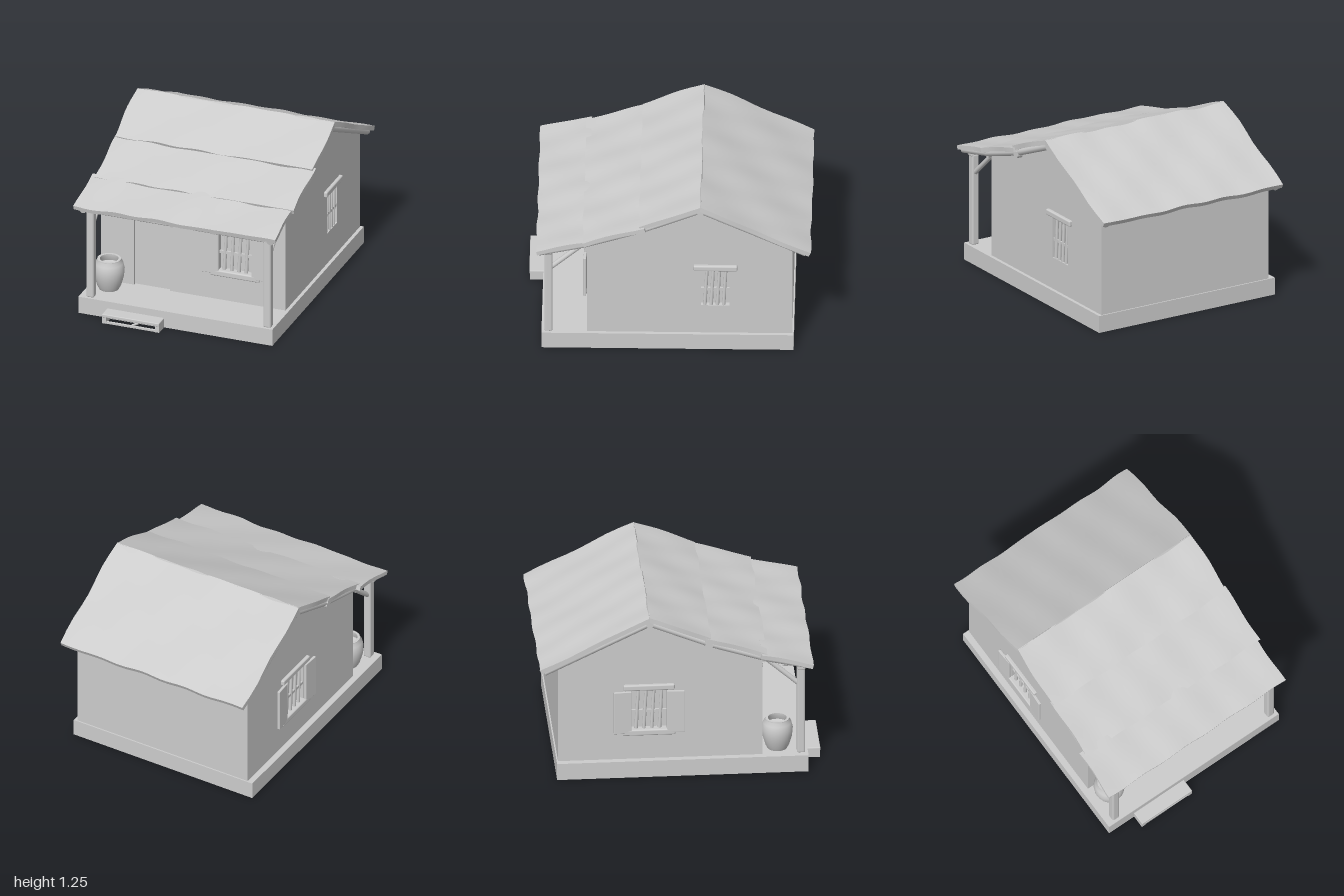
import * as THREE from 'three';
import { toCreasedNormals } from 'three/addons/utils/BufferGeometryUtils.js';
import { RoundedBoxGeometry } from 'three/addons/geometries/RoundedBoxGeometry.js';

const clay = new THREE.MeshStandardMaterial({ color: 0xcccccc, side: THREE.DoubleSide });
clay.name = 'plain clay grey';

function add(parent, name, geometry, x = 0, y = 0, z = 0) {
  const mesh = new THREE.Mesh(geometry, clay);
  mesh.name = name;
  mesh.position.set(x, y, z);
  parent.add(mesh);
  return mesh;
}

// Box given by its lower and upper limits
function block(parent, name, x0, x1, y0, y1, z0, z1, round = 0) {
  const size = [x1 - x0, y1 - y0, z1 - z0];
  const geometry = round ? new RoundedBoxGeometry(...size, 2, round) : new THREE.BoxGeometry(...size);
  return add(parent, name, geometry, (x0 + x1) / 2, (y0 + y1) / 2, (z0 + z1) / 2);
}

// Round pole between two points
function pole(parent, name, from, to, r0, r1 = r0) {
  const a = new THREE.Vector3(...from), b = new THREE.Vector3(...to);
  const dir = b.clone().sub(a);
  const mesh = add(parent, name, new THREE.CylinderGeometry(r1, r0, dir.length(), 12));
  mesh.position.copy(a).add(b).multiplyScalar(0.5);
  mesh.quaternion.setFromUnitVectors(new THREE.Vector3(0, 1, 0), dir.normalize());
  return mesh;
}

function rectPath(x0, x1, y0, y1) {
  return new THREE.Path([[x0, y0], [x0, y1], [x1, y1], [x1, y0]].map(p => new THREE.Vector2(...p)));
}

// Flat wall from an outline, with rectangular openings
function wallGeometry(outline, openings, depth = 0.05) {
  const shape = new THREE.Shape(outline.map(p => new THREE.Vector2(...p)));
  openings.forEach(o => shape.holes.push(rectPath(...o)));
  return new THREE.ExtrudeGeometry(shape, { depth, bevelEnabled: false });
}

// Barred window facing +z, origin on the wall face below the opening
function makeWindow(name, half, shutters) {
  const g = new THREE.Group();
  g.name = name;
  block(g, 'windowBack', -half - 0.01, half + 0.01, 0.35, 0.67, -0.048, -0.035);
  for (let i = 0; i < 4; i++) {
    const x = half * (-0.66 + i * 0.44);
    pole(g, 'windowBar', [x - 0.008, 0.36, -0.014], [x + 0.008, 0.665, -0.014], 0.013, 0.011);
  }
  block(g, 'windowCrossbar', -half, half, 0.485, 0.505, -0.022, -0.006);
  block(g, 'windowLintel', -half - 0.055, half + 0.055, 0.667, 0.71, -0.01, 0.024, 0.01);
  if (shutters) {
    block(g, 'windowSill', -half - 0.06, half + 0.06, 0.315, 0.36, -0.01, 0.024, 0.01);
    for (const s of [-1, 1]) {
      const shutter = block(g, 'shutter', -0.062, 0.062, 0.335, 0.66, -0.01, 0.01, 0.004);
      shutter.position.set(s * (half + 0.062), 0.4975, 0.016);
      shutter.rotation.y = -s * 0.06;
    }
  }
  return g;
}

// Slightly wavy roof sheet; the two points give its upper surface in z, y
function roofSheet(parent, name, [z0, y0], [z1, y1], x0, x1, thick) {
  const length = Math.hypot(z1 - z0, y1 - y0);
  const geometry = new THREE.BoxGeometry(x1 - x0, thick, length, 36, 1, 8);
  geometry.translate(0, -thick / 2, length / 2);
  const p = geometry.attributes.position;
  for (let i = 0; i < p.count; i++) {
    const x = p.getX(i), z = p.getZ(i), along = z / length;
    p.setY(i, p.getY(i) + 0.004 * Math.sin(x * 8 + z * 9) + 0.003 * Math.sin(x * 21 - z * 4));
    p.setZ(i, z + 0.004 * along * Math.sin(x * 17));
    p.setX(i, x + 0.006 * Math.sin(z * 13 + z0 * 5) * Math.sign(x) * (Math.abs(x) > 0.7 ? 1 : 0));
  }
  const mesh = add(parent, name, toCreasedNormals(geometry, 0.6), (x0 + x1) / 2, y0, z0);
  const slope = Math.atan2(y0 - y1, Math.abs(z1 - z0));
  mesh.rotation.order = 'YXZ';
  mesh.rotation.set(slope, z1 < z0 ? Math.PI : 0, 0);
  return mesh;
}

export function createModel() {
  const house = new THREE.Group();
  house.name = 'house';

  // Plinth: hollow underneath, with a thin floor
  block(house, 'floor', -0.745, 0.715, 0.112, 0.126, -0.87, 0.9);
  block(house, 'plinthFront', -0.745, 0.715, 0, 0.125, 0.89, 0.9);
  block(house, 'plinthBack', -0.745, 0.715, 0, 0.125, -0.87, -0.86);
  block(house, 'plinthSide', -0.745, -0.735, 0, 0.125, -0.87, 0.9);
  block(house, 'plinthSide', 0.705, 0.715, 0, 0.125, -0.87, 0.9);

  // Entrance step on short supports
  block(house, 'stepTread', -0.53, -0.1, 0.048, 0.073, 0.89, 1.0, 0.006);
  block(house, 'stepRiser', -0.53, -0.1, 0, 0.06, 0.895, 0.91);
  block(house, 'stepFoot', -0.53, -0.5, 0, 0.055, 0.9, 0.995);
  block(house, 'stepFoot', -0.13, -0.1, 0, 0.055, 0.9, 0.995);
  block(house, 'stepFoot', -0.52, -0.11, 0, 0.014, 0.975, 0.992);
  pole(house, 'stepBrace', [-0.31, 0.01, 0.975], [-0.24, 0.055, 0.975], 0.01);

  // Front wall with door and window openings, plain back wall
  const L = -0.7, R = 0.69;
  add(house, 'frontWall', wallGeometry(
    [[L, 0.125], [-0.45, 0.125], [-0.45, 0.695], [-0.18, 0.695], [-0.18, 0.125], [R, 0.125], [R, 0.885], [L, 0.885]],
    [[0.19, 0.44, 0.36, 0.665]]), 0, 0, 0.53);
  block(house, 'door', -0.46, -0.17, 0.125, 0.7, 0.535, 0.558);
  block(house, 'doorLintel', -0.48, -0.165, 0.693, 0.718, 0.56, 0.6, 0.008);
  block(house, 'backWall', L, R, 0.125, 0.87, -0.86, -0.82);

  // Gable walls with a window each
  const gable = [[0.58, 0.125], [0.58, 0.89], [0.2, 1.02], [-0.21, 1.195], [-0.86, 0.875], [-0.86, 0.125]];
  const leftWall = add(house, 'leftWall', wallGeometry(
    gable.map(([z, y]) => [-z, y]), [[0.22, 0.42, 0.36, 0.665]]), R - 0.05);
  leftWall.rotation.y = Math.PI / 2;
  const rightWall = add(house, 'rightWall', wallGeometry(gable, [[-0.345, -0.095, 0.36, 0.665]]), L + 0.05);
  rightWall.rotation.y = -Math.PI / 2;

  const frontWindow = makeWindow('frontWindow', 0.125, true);
  frontWindow.position.set(0.315, 0, 0.58);
  const rightWindow = makeWindow('rightWindow', 0.125, true);
  rightWindow.position.set(L, 0, -0.22);
  rightWindow.rotation.y = -Math.PI / 2;
  const leftWindow = makeWindow('leftWindow', 0.1, false);
  leftWindow.position.set(R, 0, -0.32);
  leftWindow.rotation.y = Math.PI / 2;
  house.add(frontWindow, rightWindow, leftWindow);

  // Roof: one sheet behind, three overlapping strips in front
  const roof = new THREE.Group();
  roof.name = 'roof';
  house.add(roof);
  roofSheet(roof, 'backRoof', [-0.215, 1.245], [-0.99, 0.86], -0.74, 0.755, 0.034);
  roofSheet(roof, 'upperRoof', [-0.22, 1.245], [0.215, 1.07], -0.74, 0.755, 0.034);
  roofSheet(roof, 'middleRoof', [0.18, 1.068], [0.61, 0.931], -0.735, 0.76, 0.032);
  roofSheet(roof, 'lowerRoof', [0.57, 0.934], [0.935, 0.845], -0.765, 0.745, 0.03);

  // Logs under the roof edges, purlins and porch rafters
  const verge = [[-0.955, 0.832], [-0.215, 1.192], [0.2, 1.018], [0.6, 0.888], [0.92, 0.815]];
  for (const x of [-0.705, 0.705]) {
    for (let i = 1; i < verge.length; i++) {
      pole(roof, 'vergeLog', [x, verge[i - 1][1], verge[i - 1][0]], [x, verge[i][1], verge[i][0]], 0.025);
    }
  }
  pole(roof, 'purlin', [-0.73, 1.005, 0.2], [0.73, 1.005, 0.2], 0.028);
  pole(roof, 'ridgeLog', [-0.73, 1.185, -0.215], [0.73, 1.185, -0.215], 0.025);
  pole(roof, 'wallPlate', [-0.72, 0.88, 0.59], [0.72, 0.88, 0.59], 0.022);
  for (const x of [-0.36, -0.04, 0.28]) {
    pole(roof, 'rafter', [x, 0.89, 0.58], [x, 0.815, 0.915], 0.02);
  }

  // Porch posts, braces and front beam
  block(house, 'porchBeam', -0.72, 0.7, 0.782, 0.825, 0.825, 0.88, 0.012);
  for (const x of [-0.668, 0.665]) {
    block(house, 'porchPost', x - 0.029, x + 0.029, 0.12, 0.8, 0.822, 0.88, 0.014);
    pole(house, 'porchBrace', [x, 0.665, 0.83], [x, 0.87, 0.6], 0.018);
  }

  // Open clay pot on the porch
  const profile = [[0.001, 0], [0.07, 0], [0.085, 0.03], [0.105, 0.1], [0.11, 0.155], [0.1, 0.2],
    [0.084, 0.225], [0.084, 0.232], [0.066, 0.232], [0.066, 0.215], [0.08, 0.18], [0.001, 0.16]];
  const pot = new THREE.LatheGeometry(profile.map(p => new THREE.Vector2(...p)), 28);
  add(house, 'clayPot', toCreasedNormals(pot, 0.7), -0.595, 0.125, 0.69);

  return house;
}
